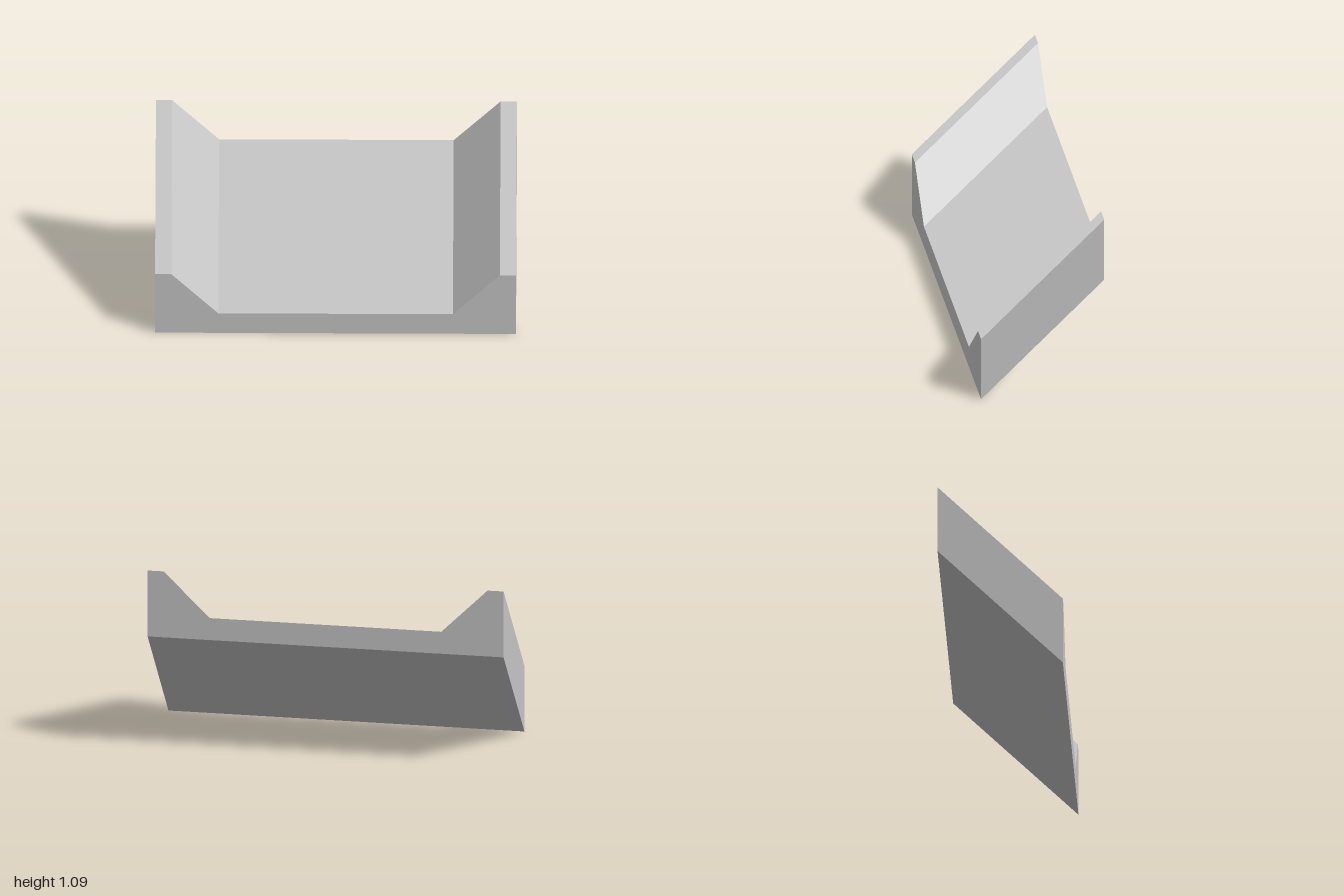
import * as THREE from 'three';

const HALF_DEPTH = 0.3475;

export function createModel() {
  const model = new THREE.Group();
  const grey = new THREE.MeshStandardMaterial({ color: 0xc6c6c6 });
  grey.name = 'lightGrey';

  // Trough cross-section: flat base, raised rails and sloping inner walls
  const profile = new THREE.Shape([
    [-1, 0], [1, 0], [1, 0.39], [0.91, 0.39],
    [0.65, 0.13], [-0.65, 0.13], [-0.91, 0.39], [-1, 0.39],
  ].map(([x, y]) => new THREE.Vector2(x, y)));

  const geometry = new THREE.ExtrudeGeometry(profile, { depth: 2 * HALF_DEPTH, bevelEnabled: false });
  geometry.translate(0, 0, -HALF_DEPTH);

  // Shear upward towards the back at 45 degrees; the straight extrusion's normals are kept
  const pos = geometry.attributes.position;
  for (let i = 0; i < pos.count; i++) {
    pos.setY(i, pos.getY(i) + HALF_DEPTH - pos.getZ(i));
  }

  const ramp = new THREE.Mesh(geometry, grey);
  ramp.name = 'slopedTrough';
  model.add(ramp);
  return model;
}
